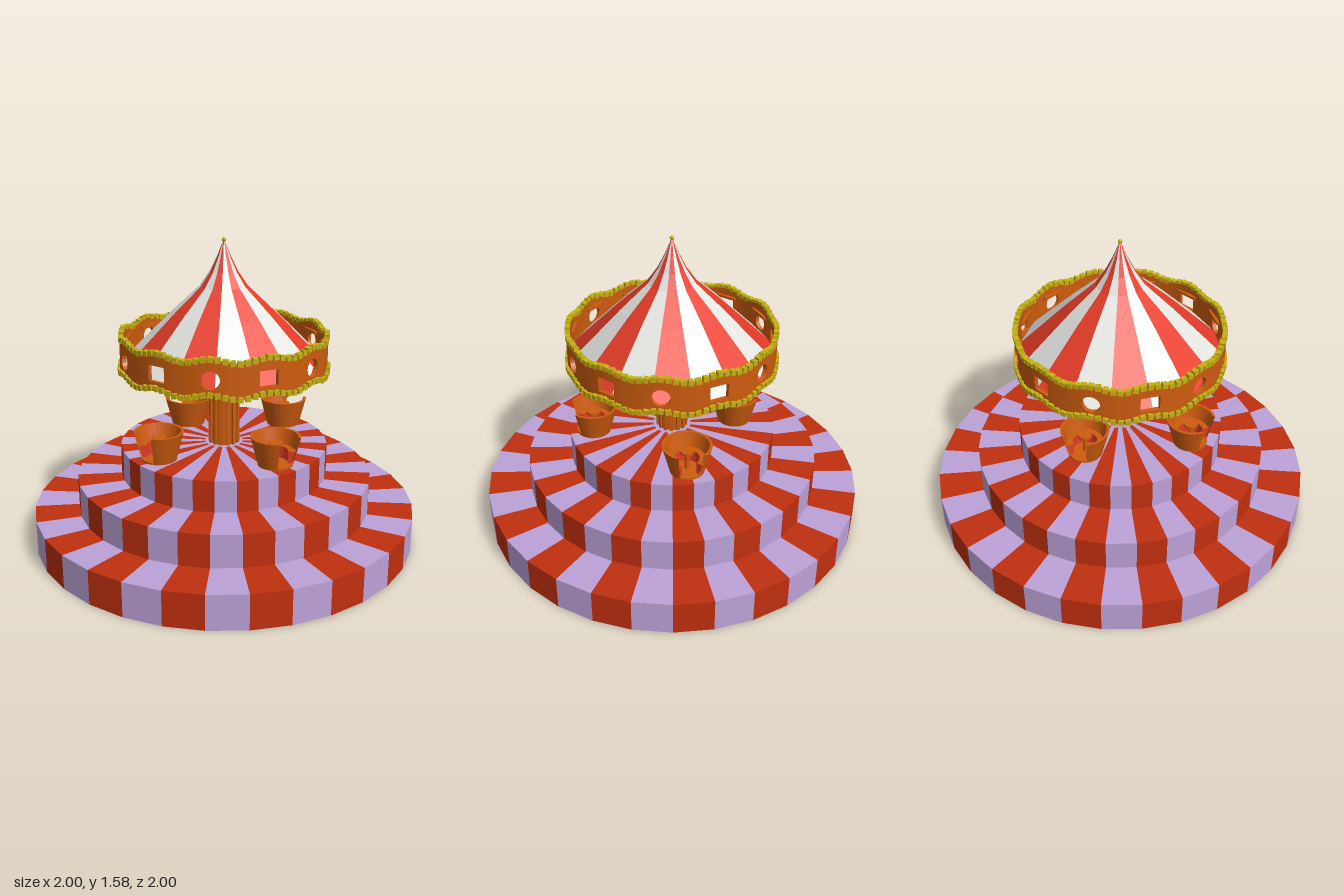
import * as THREE from 'three';
import { mergeGeometries } from 'three/addons/utils/BufferGeometryUtils.js';

const TAU = Math.PI * 2;

function makeMaterial(name, color) {
  const m = new THREE.MeshStandardMaterial({ color, side: THREE.DoubleSide });
  m.name = name;
  return m;
}

// Surface of revolution; angle 0 points to the front
function turned(points, segments, start = 0, length = TAU, flat = true) {
  const g = new THREE.LatheGeometry(points.map(p => new THREE.Vector2(...p)), segments, start, length);
  if (!flat) return g;
  const f = g.toNonIndexed();
  f.computeVertexNormals();
  return f;
}

export function createModel() {
  const model = new THREE.Group();
  model.name = 'carousel';
  const lilac = makeMaterial('lilac', 0xbda2d8);
  const brick = makeMaterial('brickRed', 0xc02f0f);
  const orange = makeMaterial('orange', 0xcd5c0f);
  const white = makeMaterial('canvasWhite', 0xe6e6e3);
  const red = makeMaterial('canvasRed', 0xe63c28);
  const gold = makeMaterial('gold', 0xc4b010);

  function add(name, geometry, material, parent = model) {
    const mesh = new THREE.Mesh(geometry, material);
    mesh.name = name;
    parent.add(mesh);
    return mesh;
  }

  // Alternating wedges of one profile, merged by colour
  function stripes(name, profile, count, evenMaterial, oddMaterial) {
    const sets = [[], []];
    for (let i = 0; i < count; i++) {
      sets[i % 2].push(turned(profile, 1, i * TAU / count, TAU / count));
    }
    add(name + 'EvenStripes', mergeGeometries(sets[0]), evenMaterial);
    add(name + 'OddStripes', mergeGeometries(sets[1]), oddMaterial);
  }

  // Three-tier striped platform
  stripes('platform', [
    [0.51, 0], [1, 0], [1, 0.18], [0.77, 0.18], [0.77, 0.35],
    [0.54, 0.35], [0.54, 0.51], [0.1, 0.51],
  ], 32, lilac, brick);
  add('platformUnderside', turned([[0, 0], [0.51, 0]], 32), lilac);
  add('platformCentre', turned([[0.1, 0.51], [0, 0.51]], 32), lilac);

  // Fluted column
  const columnParts = [new THREE.CylinderGeometry(0.072, 0.072, 0.31, 24).translate(0, 0.655, 0)];
  for (let i = 0; i < 14; i++) {
    columnParts.push(new THREE.BoxGeometry(0.016, 0.31, 0.02)
      .translate(0, 0.655, 0.072).rotateY(i * TAU / 14));
  }
  add('column', mergeGeometries(columnParts), orange);

  // Flared collar and octagonal drum under the canopy
  add('collar', turned([[0.07, 0.785], [0.09, 0.795], [0.2, 0.835], [0.205, 0.85], [0.19, 0.85]], 24), orange);
  add('drum', turned([[0.2, 0.84], [0.2, 0.94]], 8), orange);
  add('canopyFloor', turned([[0, 0.935], [0.525, 0.935]], 48), orange);

  // Wavy canopy band, one bent panel per window
  const R = 0.53, DEPTH = 0.02, PANELS = 12, STEP = TAU / PANELS;
  const FIRST = THREE.MathUtils.degToRad(13);
  const wave = a => 0.011 * Math.cos(a * PANELS);
  const topEdge = a => 1.09 + wave(a);
  const lowEdge = a => 0.922 + wave(a);

  function windowPanel(round) {
    const shape = new THREE.Shape();
    const n = 10;
    const angles = Array.from({ length: n + 1 }, (_, i) => (i / n - 0.5) * STEP);
    const outline = angles.map(a => new THREE.Vector2(a * R, lowEdge(a)));
    angles.slice().reverse().forEach(a => outline.push(new THREE.Vector2(a * R, topEdge(a))));
    shape.setFromPoints(outline);
    const hole = new THREE.Path();
    if (round) {
      hole.absarc(0, 1.003, 0.045, 0, TAU, true);
    } else {
      hole.setFromPoints([[-0.047, 0.964], [-0.047, 1.042], [0.047, 1.042], [0.047, 0.964]]
        .map(p => new THREE.Vector2(...p)));
    }
    shape.holes.push(hole);
    const g = new THREE.ExtrudeGeometry(shape, { depth: DEPTH, bevelEnabled: false, curveSegments: 8 });
    const p = g.attributes.position, q = g.attributes.normal;
    for (let i = 0; i < p.count; i++) {
      const a = p.getX(i) / R, r = R - DEPTH + p.getZ(i);
      const s = Math.sin(a), c = Math.cos(a), nx = q.getX(i), nz = q.getZ(i);
      p.setXYZ(i, r * s, p.getY(i), r * c);
      q.setXYZ(i, nx * c + nz * s, q.getY(i), nz * c - nx * s);
    }
    return g;
  }
  const panels = [], lintels = [];
  for (let i = 0; i < PANELS; i++) {
    const angle = FIRST + i * STEP;
    panels.push(windowPanel(i % 2 === 0).rotateY(angle));
    lintels.push(new THREE.BoxGeometry(0.13, 0.014, 0.02).translate(0, 1.056, 0.502).rotateY(angle));
  }
  add('canopyBand', mergeGeometries(panels), orange);
  add('windowLintels', mergeGeometries(lintels), orange);

  // Rows of gold beads following the wavy edges
  function beads(name, count, radius, size, height) {
    const parts = [];
    for (let i = 0; i < count; i++) {
      const a = i * TAU / count;
      parts.push(new THREE.BoxGeometry(size, size * 0.95, size * 0.95)
        .rotateZ(i % 2 ? 0.15 : -0.15)
        .translate(0, height(a), radius).rotateY(FIRST + a));
    }
    add(name, mergeGeometries(parts), gold);
  }
  beads('upperBeads', 96, 0.522, 0.027, a => topEdge(a) + 0.002);
  beads('lowerBeads', 96, 0.53, 0.027, a => lowEdge(a) + 0.002);
  beads('collarBeads', 60, 0.205, 0.017, a => 0.842 + 0.5 * wave(a));

  // Striped concave tent roof with a small finial
  stripes('roof', [
    [0.515, 0.955], [0.37, 1.1], [0.26, 1.21], [0.19, 1.275], [0.12, 1.34],
    [0.072, 1.41], [0.035, 1.485], [0.003, 1.565],
  ], 16, white, red);
  add('finial', new THREE.SphereGeometry(0.011, 10, 8).translate(0, 1.567, 0), gold);

  // Tub cars with a doorway facing outwards
  function tubCar(x, z, turn) {
    const car = new THREE.Group();
    car.name = 'tubCar';
    const gap = 0.62, sweep = TAU - 2 * gap;
    add('tubWall', turned([
      [0.075, 0.515], [0.088, 0.515], [0.125, 0.66], [0.111, 0.66], [0.075, 0.515],
    ], 24, gap, sweep), orange, car);
    add('tubFloor', turned([[0.088, 0.512], [0.088, 0.522], [0, 0.522]], 24), orange, car);
    add('seatTop', turned([[0.1, 0.585], [0.062, 0.585]], 20, gap, sweep), orange, car);
    add('seatFront', turned([[0.062, 0.585], [0.062, 0.522]], 20, gap, sweep), red, car);
    // Red ends closing the bench at the doorway
    const end = new THREE.Shape([[0.062, 0.522], [0.08, 0.522], [0.098, 0.585], [0.062, 0.585]]
      .map(p => new THREE.Vector2(...p)));
    for (const side of [-1, 1]) {
      add('seatEnd', new THREE.ShapeGeometry(end).rotateY(-Math.PI / 2 + side * gap), red, car);
    }
    // Centre wheel on its post
    add('wheelPost', new THREE.CylinderGeometry(0.012, 0.012, 0.1, 10).translate(0, 0.57, 0), orange, car);
    add('wheel', new THREE.CylinderGeometry(0.036, 0.036, 0.014, 16).translate(0, 0.622, 0), orange, car);
    car.position.set(x, 0, z);
    car.rotation.y = turn;
    model.add(car);
  }
  tubCar(-0.02, 0.415, 0);
  tubCar(0.42, 0.01, Math.PI / 2);
  tubCar(0.025, -0.335, Math.PI);
  tubCar(-0.415, -0.01, -Math.PI / 2);

  return model;
}
